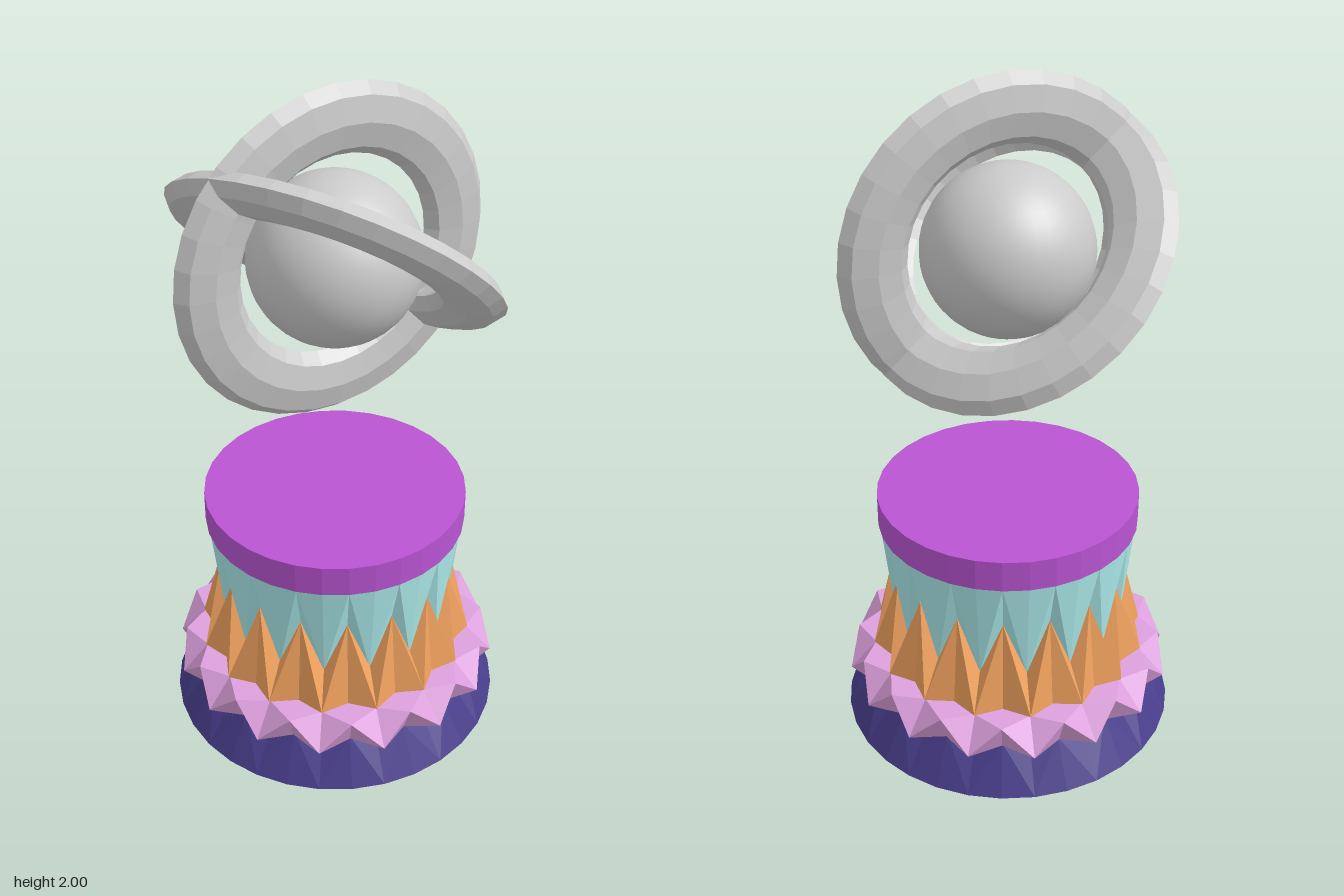
import * as THREE from 'three';

const SIDES = 32;

function material(color, flatShading = true) {
  return new THREE.MeshStandardMaterial({ color, flatShading });
}

// Closed pleated frustum; each ring is [y, radius at even corners, radius at odd corners].
function pleatedTier(name, color, bottom, top) {
  const corner = ([y, even, odd], i) => {
    const a = (i / SIDES) * Math.PI * 2;
    const r = i % 2 ? odd : even;
    return [r * Math.sin(a), y, r * Math.cos(a)];
  };
  const pos = [];
  const tri = (...pts) => pts.forEach((p) => pos.push(...p));
  for (let i = 0; i < SIDES; i++) {
    const a = corner(bottom, i), b = corner(bottom, i + 1);
    const c = corner(top, i + 1), d = corner(top, i);
    // Folds run from even bottom corners to odd top corners
    if (i % 2 === 0) {
      tri(a, b, c);
      tri(a, c, d);
    } else {
      tri(a, b, d);
      tri(b, c, d);
    }
    tri([0, top[0], 0], d, c);
    tri([0, bottom[0], 0], b, a);
  }
  const geo = new THREE.BufferGeometry();
  geo.setAttribute('position', new THREE.Float32BufferAttribute(pos, 3));
  geo.computeVertexNormals();
  const mesh = new THREE.Mesh(geo, material(color));
  mesh.name = name;
  return mesh;
}

// Flattened faceted ring
function orbitRing(name, rotX, rotY) {
  const geo = new THREE.TorusGeometry(0.385, 0.097, 8, 32);
  geo.scale(1, 1, 0.5);
  const ring = new THREE.Mesh(geo, material(0xcccccc));
  ring.name = name;
  ring.rotation.set(rotX, rotY, 0);
  ring.position.y = 1.52;
  return ring;
}

export function createModel() {
  const model = new THREE.Group();
  model.name = 'pedestalWithRingedSphere';

  // Pedestal tiers, from the floor up
  model.add(
    pleatedTier('base', 0x483d8b, [0, 0.5, 0.5], [0.14, 0.4, 0.42]),
    pleatedTier('ruffle', 0xdda0dd, [0.14, 0.49, 0.43], [0.23, 0.41, 0.464]),
    pleatedTier('lowerColumn', 0xf4a460, [0.23, 0.415, 0.375], [0.51, 0.24, 0.345]),
    pleatedTier('upperColumn', 0xafeeee, [0.33, 0.345, 0.3], [0.66, 0.38, 0.38]),
    pleatedTier('topPlate', 0xba55d3, [0.66, 0.385, 0.385], [0.755, 0.385, 0.385])
  );

  // Floating sphere
  const sphere = new THREE.Mesh(new THREE.SphereGeometry(0.24, 32, 24), material(0xcccccc, false));
  sphere.name = 'sphere';
  sphere.position.y = 1.51;
  model.add(sphere);

  // Two crossing rings: one leaning forward, one upright
  model.add(
    orbitRing('leaningRing', Math.PI / 4, 0),
    orbitRing('uprightRing', 0, Math.PI / 3)
  );
  return model;
}
